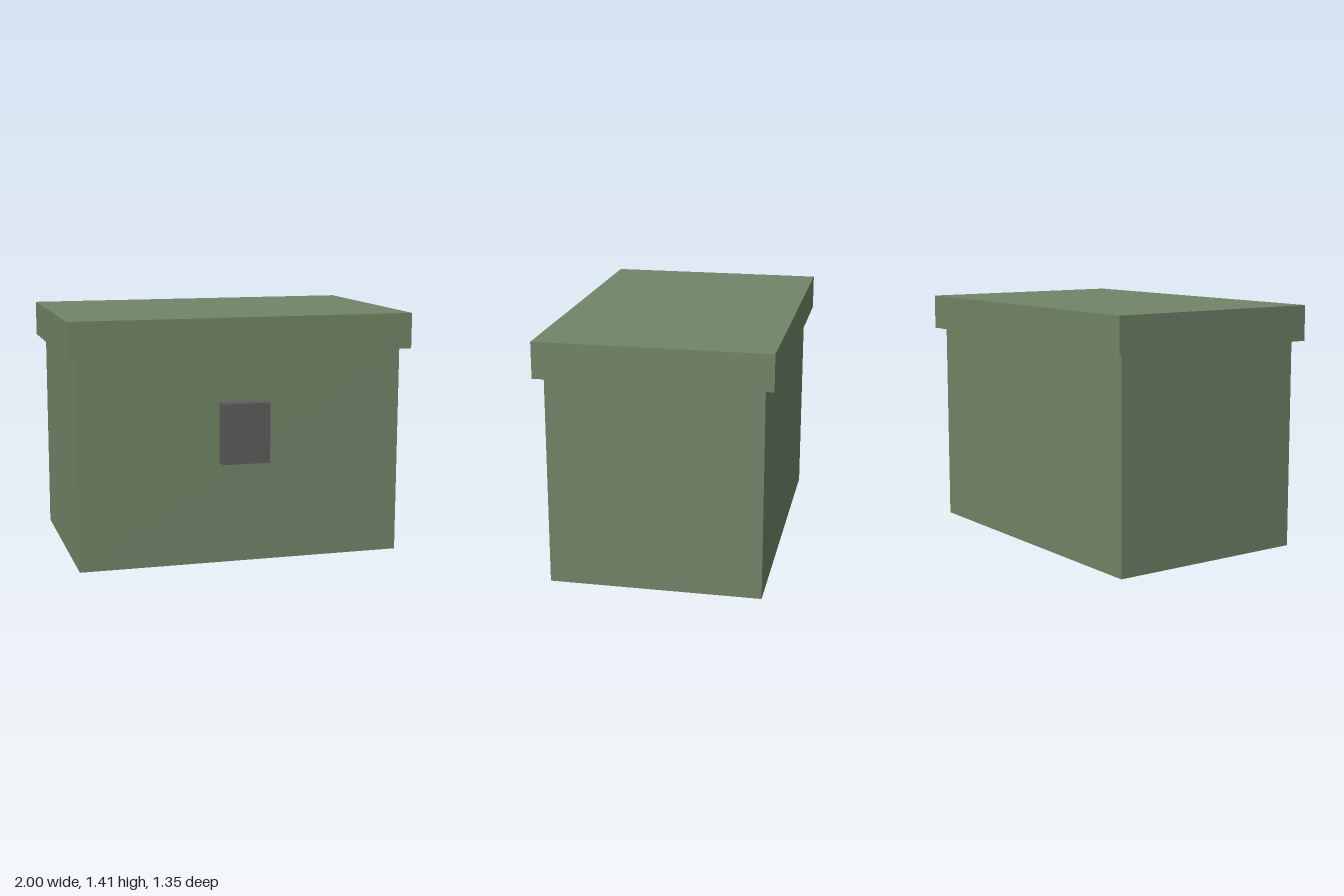
import * as THREE from 'three';

export function createModel() {
  const green = new THREE.MeshStandardMaterial({ name: 'sage green', color: 0x718467 });
  const grey = new THREE.MeshStandardMaterial({ name: 'dark grey', color: 0x5b5b5b });
  const group = new THREE.Group();
  group.name = 'chest';

  // Box spanning the given ranges, symmetric about x = 0
  const addBox = (name, halfWidth, [y0, y1], [z0, z1], material) => {
    const mesh = new THREE.Mesh(new THREE.BoxGeometry(halfWidth * 2, y1 - y0, z1 - z0), material);
    mesh.position.set(0, (y0 + y1) / 2, (z0 + z1) / 2);
    mesh.name = name;
    group.add(mesh);
  };

  // Main container
  addBox('body', 0.948, [0, 1.21], [-0.62, 0.59], green);
  // Overhanging lid
  addBox('lid', 1, [1.21, 1.415], [-0.672, 0.641], green);
  // Latch on the front
  addBox('latch', 0.138, [0.588, 0.934], [0.59, 0.675], grey);

  return group;
}
